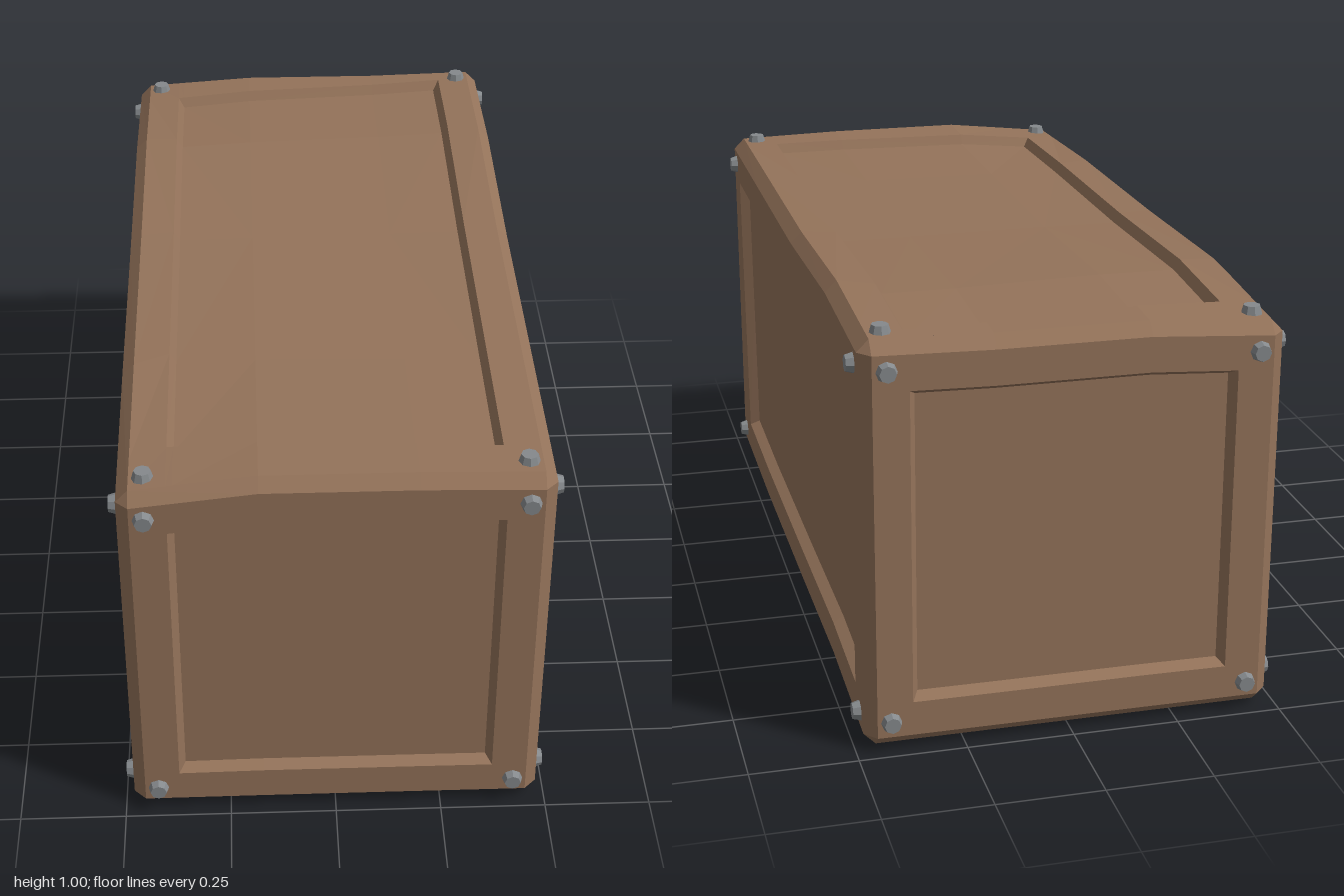
import * as THREE from 'three';

const HALF = [0.48, 0.48, 0.975]; // box half sizes
const BEVEL = 0.028;
const PANEL = [0.37, 0.37, 0.86]; // half extents of the sunk panels
const LIP = 0.015, DEPTH = 0.025;
const CUTS = [[-0.17, 0.18], [0.01], [-0.57, -0.08, 0.49]];

// Uneven hand-made outline: heights along z for the underside and three lines of the lid
const ZS = [-0.975, -0.57, -0.08, 0.49, 0.975];
const BASE = [0.01, 0.028, 0.015, 0.003, 0.008];
const LID_RIGHT = [0.95, 0.98, 0.965, 0.955, 0.93];
const LID_MID = [0.972, 0.988, 0.968, 0.965, 0.967];
const LID_LEFT = [0.98, 0.995, 0.97, 0.965, 0.96];

function lerpTable(xs, ys, x) {
  let i = 0;
  while (i < xs.length - 2 && x > xs[i + 1]) i++;
  return ys[i] + (ys[i + 1] - ys[i]) * (x - xs[i]) / (xs[i + 1] - xs[i]);
}

function warp([x, y, z]) {
  const at = t => lerpTable(ZS, t, z);
  const top = lerpTable([-0.48, -0.17, 0.18, 0.48], [at(LID_RIGHT), at(LID_MID), at(LID_MID), at(LID_LEFT)], x);
  const bottom = at(BASE);
  return [x, bottom + (top - bottom) * (y + HALF[1]) / (2 * HALF[1]), z];
}

// Adds a triangle turned towards ref
function tri(out, a, b, c, ref) {
  const [A, B, C] = [a, b, c].map(p => new THREE.Vector3(...p));
  const n = B.clone().sub(A).cross(C.clone().sub(A));
  const order = n.dot(new THREE.Vector3(...ref)) > 0 ? [a, b, c] : [a, c, b];
  order.forEach(p => out.push(...warp(p)));
}

function quad(out, a, b, c, d, ref) {
  tri(out, a, b, c, ref);
  tri(out, a, c, d, ref);
}

function toMesh(points, material, name) {
  const g = new THREE.BufferGeometry();
  g.setAttribute('position', new THREE.Float32BufferAttribute(points, 3));
  g.computeVertexNormals();
  const m = new THREE.Mesh(g, material);
  m.name = name;
  return m;
}

// Grid lines along one axis: face edge, panel lip, cuts, panel lip, face edge
function lines(axis) {
  const e = HALF[axis] - BEVEL, p = PANEL[axis];
  return [-e, -p, -p + LIP, ...CUTS[axis], p - LIP, p, e];
}

// One side of the crate; skew shifts the four panel corners along z
function addFace(axis, sign, skew, frame, panel) {
  const u = (axis + 1) % 3, v = (axis + 2) % 3;
  const U = lines(u), V = lines(v);
  const n = U.length, m = V.length;
  const ref = [0, 0, 0];
  ref[axis] = sign;
  const inside = (i, j, k) => i >= k && i < n - k && j >= k && j < m - k;
  const point = (i, j) => {
    const p = [0, 0, 0];
    p[u] = U[i];
    p[v] = V[j];
    p[axis] = sign * (HALF[axis] - (inside(i, j, 2) ? DEPTH : 0));
    if (inside(i, j, 1)) {
      const s = (U[i] / PANEL[u] + 1) / 2, t = (V[j] / PANEL[v] + 1) / 2;
      p[2] += (skew[0] * (1 - s) + skew[1] * s) * (1 - t) + (skew[2] * (1 - s) + skew[3] * s) * t;
    }
    return p;
  };
  for (let i = 0; i < n - 1; i++) {
    for (let j = 0; j < m - 1; j++) {
      const out = inside(i, j, 2) && inside(i + 1, j + 1, 2) ? panel : frame;
      const a = point(i, j), b = point(i + 1, j), c = point(i + 1, j + 1), d = point(i, j + 1);
      // diagonals run outwards through the corners so the lips mitre
      if ((i < n / 2 - 1) === (j < m / 2 - 1)) quad(out, a, b, c, d, ref);
      else quad(out, b, c, d, a, ref);
    }
  }
}

// Chamfers along the twelve edges and the eight corners
function addBevels(out) {
  for (let c = 0; c < 3; c++) {
    const a = (c + 1) % 3, b = (c + 2) % 3, e = HALF[c] - BEVEL;
    const stops = [-e, ...CUTS[c], e];
    for (const sa of [-1, 1]) for (const sb of [-1, 1]) {
      const ref = [0, 0, 0];
      ref[a] = sa;
      ref[b] = sb;
      const at = (w, ia, ib) => {
        const p = [0, 0, 0];
        p[c] = w;
        p[a] = sa * (HALF[a] - ia);
        p[b] = sb * (HALF[b] - ib);
        return p;
      };
      for (let k = 0; k < stops.length - 1; k++) {
        quad(out, at(stops[k], 0, BEVEL), at(stops[k + 1], 0, BEVEL),
          at(stops[k + 1], BEVEL, 0), at(stops[k], BEVEL, 0), ref);
      }
    }
  }
  for (const x of [-1, 1]) for (const y of [-1, 1]) for (const z of [-1, 1]) {
    const s = [x, y, z];
    const pts = [0, 1, 2].map(f => s.map((q, k) => q * (HALF[k] - (k === f ? 0 : BEVEL))));
    tri(out, ...pts, s);
  }
}

export function createModel() {
  const group = new THREE.Group();
  group.name = 'crate';
  const wood = new THREE.MeshStandardMaterial({ color: 0x94735a });
  wood.name = 'brown wood';
  const metal = new THREE.MeshStandardMaterial({ color: 0x85898c });
  metal.name = 'grey metal';

  const flat = [0, 0, 0, 0];
  const faces = [
    ['left', 0, 1, [0, 0, -0.04, 0]],
    ['right', 0, -1, flat],
    ['top', 1, 1, [0.02, -0.05, -0.04, -0.01]],
    ['bottom', 1, -1, flat],
    ['front', 2, 1, flat],
    ['back', 2, -1, flat],
  ];

  // Frame and sunk panels
  const frame = [];
  for (const [name, axis, sign, skew] of faces) {
    const panel = [];
    addFace(axis, sign, skew, frame, panel);
    group.add(toMesh(panel, wood, name + 'Panel'));
  }
  addBevels(frame);
  group.add(toMesh(frame, wood, 'frame'));

  // Bolts at the corners of every side except the bottom
  const boltGeometry = new THREE.CylinderGeometry(0.019, 0.026, 0.024, 8).toNonIndexed();
  boltGeometry.computeVertexNormals();
  const spots = [0.42, 0.415, 0.907];
  for (const [name, axis, sign] of faces) {
    if (name === 'bottom') continue;
    const u = (axis + 1) % 3, v = (axis + 2) % 3;
    const normal = new THREE.Vector3().setComponent(axis, sign);
    for (const su of [-1, 1]) for (const sv of [-1, 1]) {
      const p = [0, 0, 0];
      p[axis] = sign * HALF[axis];
      p[u] = su * spots[u];
      p[v] = sv * spots[v];
      const bolt = new THREE.Mesh(boltGeometry, metal);
      bolt.name = name + 'Bolt';
      bolt.position.set(...warp(p)).addScaledVector(normal, 0.006);
      bolt.quaternion.setFromUnitVectors(new THREE.Vector3(0, 1, 0), normal);
      group.add(bolt);
    }
  }
  return group;
}
